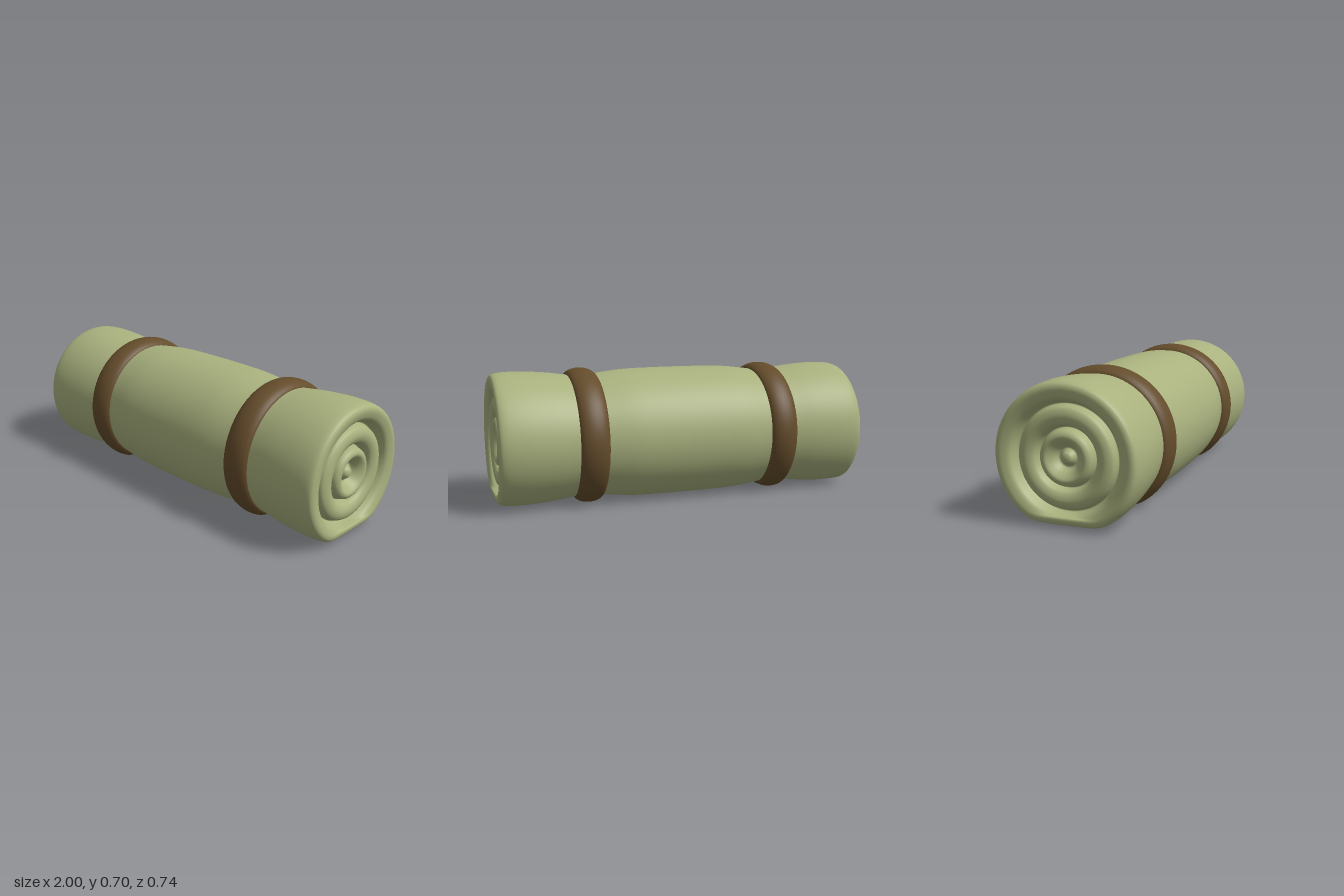
import * as THREE from 'three';
import { mergeVertices } from 'three/addons/utils/BufferGeometryUtils.js';

const R = 0.36;        // roll radius
const AXIS_Y = 0.33;   // height of the roll's axis

// Turn a profile of (radius, x) points about the x axis, then sag it flat underneath.
function saggedLathe(profile, segments, maxDepth) {
  let geo = new THREE.LatheGeometry(profile, segments);
  geo.rotateZ(-Math.PI / 2);
  const pos = geo.attributes.position;
  for (let i = 0; i < pos.count; i++) {
    const y = pos.getY(i);
    const r = Math.hypot(y, pos.getZ(i));
    const sag = THREE.MathUtils.smoothstep(r / R, 0.7, 0.9);
    const floor = -Math.min(maxDepth, r - 0.04 * sag);
    // soft maximum of y and floor
    const flat = (y + floor + Math.hypot(y - floor, 0.02 * sag)) / 2;
    pos.setY(i, flat + AXIS_Y);
  }
  // weld the seam so the shading stays smooth
  geo.deleteAttribute('uv');
  geo.deleteAttribute('normal');
  geo = mergeVertices(geo, 1e-5);
  geo.computeVertexNormals();
  return geo;
}

// Half profile: from the middle, pinched at the strap, round the lip, in over the coiled end
const HALF = [
  [0.36, 0], [0.359, 0.15], [0.354, 0.3], [0.338, 0.44], [0.328, 0.525],
  [0.337, 0.61], [0.351, 0.72], [0.359, 0.84], [0.358, 0.93], [0.35, 0.98],
  [0.333, 0.998], [0.305, 0.998], [0.273, 0.982], [0.25, 0.935],
  [0.232, 0.972], [0.195, 0.985], [0.158, 0.97], [0.14, 0.93],
  [0.126, 0.97], [0.1, 0.983], [0.072, 0.962], [0.045, 0.93],
  [0.022, 0.957], [0, 0.963],
];

function makeRoll(material) {
  const curve = new THREE.SplineCurve(HALF.map(([r, x]) => new THREE.Vector2(r, x)));
  const half = curve.getPoints(138);
  half.forEach((p) => { p.x = Math.max(p.x, 0); });
  const mirrored = half.slice(1).reverse().map((p) => new THREE.Vector2(p.x, -p.y));
  const mesh = new THREE.Mesh(saggedLathe([...mirrored, ...half], 96, 0.318), material);
  mesh.name = 'rolledMat';
  return mesh;
}

// Rounded band with an elliptical section
function makeStrap(x, name, material) {
  const profile = [];
  for (let i = 0; i <= 28; i++) {
    const a = (i / 28) * Math.PI * 2;
    profile.push(new THREE.Vector2(0.33 + 0.04 * Math.sin(a), x - 0.076 * Math.cos(a)));
  }
  const mesh = new THREE.Mesh(saggedLathe(profile, 96, 0.33), material);
  mesh.name = name;
  return mesh;
}

export function createModel() {
  const group = new THREE.Group();
  group.name = 'bedroll';
  const cloth = new THREE.MeshStandardMaterial({ color: 0xa9b17e });
  const leather = new THREE.MeshStandardMaterial({ color: 0x644c2b });
  group.add(makeRoll(cloth));
  group.add(makeStrap(0.525, 'leftStrap', leather));
  group.add(makeStrap(-0.525, 'rightStrap', leather));
  return group;
}
